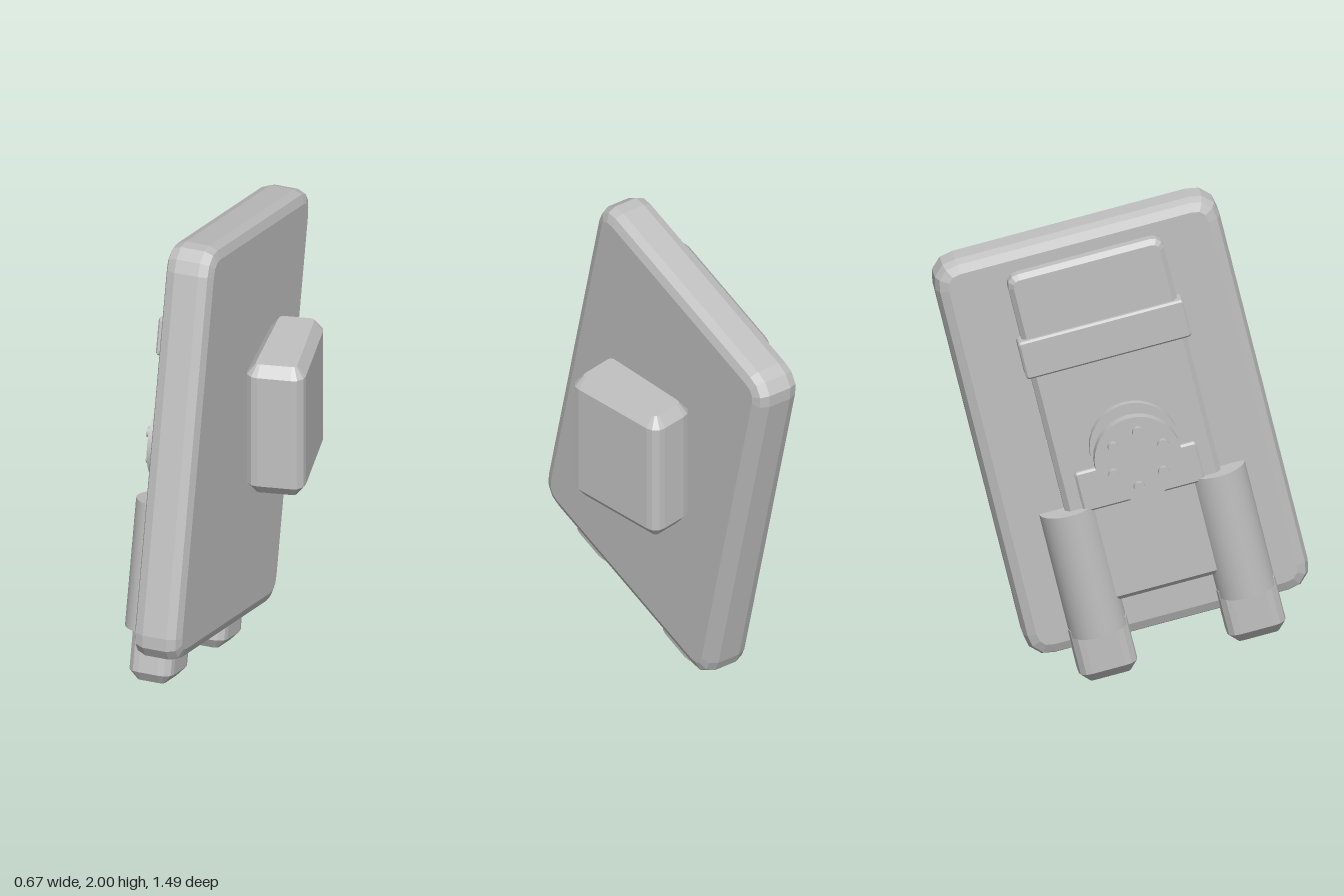
import * as THREE from 'three';

const grey = new THREE.MeshStandardMaterial({ color: 0xc0c0c0 });
grey.name = 'plain grey';

// Rounded rectangle, width a and height b, extruded to depth d with bevelled rims, centred
function bevelledBlock(a, b, d, r, bevel, bevelDepth = bevel, segments = 1) {
  const w = a / 2 - bevel, h = b / 2 - bevel, s = new THREE.Shape();
  s.moveTo(-w + r, -h);
  s.lineTo(w - r, -h).quadraticCurveTo(w, -h, w, -h + r);
  s.lineTo(w, h - r).quadraticCurveTo(w, h, w - r, h);
  s.lineTo(-w + r, h).quadraticCurveTo(-w, h, -w, h - r);
  s.lineTo(-w, -h + r).quadraticCurveTo(-w, -h, -w + r, -h);
  const g = new THREE.ExtrudeGeometry(s, {
    depth: d - 2 * bevelDepth, bevelEnabled: true, bevelSize: bevel,
    bevelThickness: bevelDepth, bevelSegments: segments, curveSegments: 3,
  });
  return g.translate(0, 0, -d / 2 + bevelDepth);
}

function add(parent, name, geometry, x, y, z) {
  const m = new THREE.Mesh(geometry, grey);
  m.name = name;
  m.position.set(x, y, z);
  parent.add(m);
  return m;
}

// Block whose thin direction is x
const plate = (w, h, d, r, bevel, segments = 1) =>
  bevelledBlock(w, h, d, r, bevel, bevel, segments).rotateY(Math.PI / 2);

// Short cylinder whose axis is x
const disc = (r, d, sides = 32) =>
  new THREE.CylinderGeometry(r, r, d, sides).rotateZ(Math.PI / 2);

export function createModel() {
  const model = new THREE.Group();
  model.name = 'model';

  // Tilted assembly: slab and everything fixed to its -x face
  const panel = new THREE.Group();
  panel.name = 'tiltedPanel';
  panel.rotation.set(-0.2356, -0.1868, 0, 'YXZ');
  panel.position.set(-0.042, 1.045, 0);
  model.add(panel);

  add(panel, 'slab', plate(1.17, 1.716, 0.2, 0.06, 0.05, 2), 0, 0, 0);

  // Raised backing plate with a cross band
  const cz = 0.015;
  add(panel, 'backPlate', plate(0.64, 1.44, 0.1, 0.03, 0.02), -0.11, 0.04, cz);
  add(panel, 'crossBand', plate(0.68, 0.16, 0.09, 0.008, 0.008), -0.136, 0.41, cz);

  // Round dial on a horizontal bar
  add(panel, 'dialBar', plate(0.5, 0.17, 0.06, 0.008, 0.008), -0.15, -0.19, cz);
  add(panel, 'dialBase', disc(0.18, 0.06), -0.16, -0.05, 0.025);
  add(panel, 'dialFace', disc(0.175, 0.05), -0.21, -0.09, 0.025);
  for (let i = 0; i < 6; i++) {
    const a = (i + 0.3) * Math.PI / 3;
    add(panel, 'dialStud', disc(0.022, 0.03, 12), -0.244,
      -0.09 + 0.115 * Math.sin(a), 0.025 + 0.115 * Math.cos(a));
  }

  // Lower cylinders, each ending in a foot
  for (const side of [-1, 1]) {
    const z = cz + side * 0.305;
    add(panel, 'lowerCylinder',
      new THREE.CylinderGeometry(0.118, 0.118, 0.53, 32), -0.095, -0.525, z);
    add(panel, 'foot', bevelledBlock(0.185, 0.24, 0.27, 0.02, 0.035, 0.04)
      .rotateX(Math.PI / 2), -0.065, -0.855, z);
  }

  // Upright block beside the slab, slightly narrower towards the back
  const block = bevelledBlock(0.24, 0.48, 0.58, 0.02, 0.035, 0.045).rotateX(Math.PI / 2);
  const p = block.attributes.position;
  for (let i = 0; i < p.count; i++) {
    if (p.getX(i) < 0) p.setX(i, p.getX(i) + 0.03 * (0.24 - p.getZ(i)) / 0.48);
  }
  block.computeVertexNormals();
  add(model, 'sideBlock', block, 0.207, 1.13, -0.03);

  return model;
}
